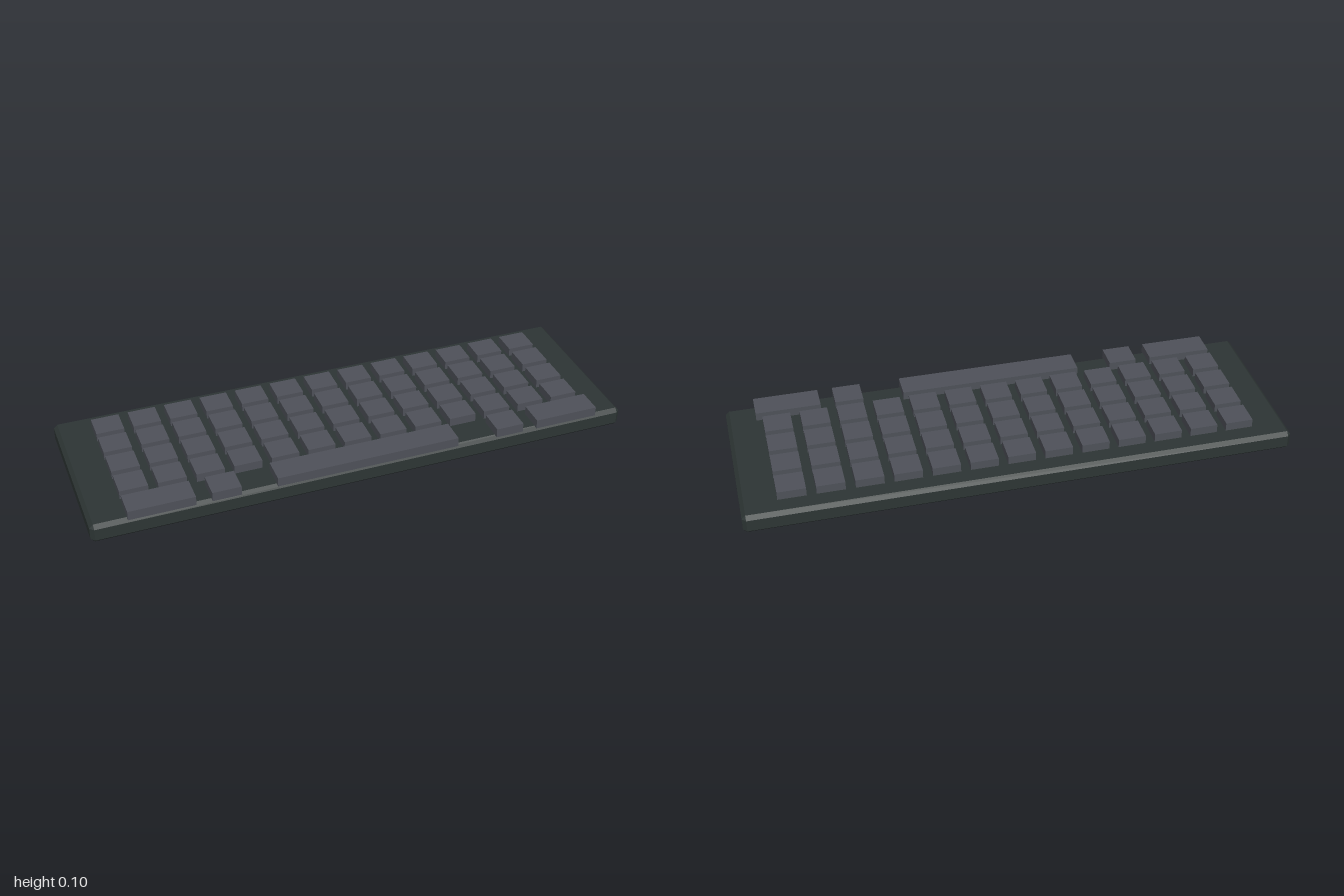
import * as THREE from 'three';
import { ConvexGeometry } from 'three/addons/geometries/ConvexGeometry.js';

// Box with every edge cut by a single flat chamfer
function chamferedBox(w, h, d, c) {
  const points = [];
  for (const sx of [-1, 1]) for (const sy of [-1, 1]) for (const sz of [-1, 1]) {
    for (let full = 0; full < 3; full++) {
      points.push(new THREE.Vector3(
        sx * (w / 2 - (full === 0 ? 0 : c)),
        sy * (h / 2 - (full === 1 ? 0 : c)),
        sz * (d / 2 - (full === 2 ? 0 : c))
      ));
    }
  }
  return new ConvexGeometry(points);
}

export function createModel() {
  const caseMaterial = new THREE.MeshStandardMaterial({ color: 0x2d3534 });
  caseMaterial.name = 'dark case';
  const keyMaterial = new THREE.MeshStandardMaterial({ color: 0x4e5159 });
  keyMaterial.name = 'grey keycaps';

  const keyboard = new THREE.Group();
  keyboard.name = 'keyboard';

  // Slab body
  const body = new THREE.Mesh(chamferedBox(2, 0.073, 0.637, 0.014), caseMaterial);
  body.name = 'case';
  body.position.y = 0.0365;
  keyboard.add(body);

  // Keycaps, placed by their left and right edges and row
  const rowZ = (row) => -0.2 + row * 0.118;
  function addKey(name, x0, x1, row) {
    const key = new THREE.Mesh(new THREE.BoxGeometry(x1 - x0, 0.035, 0.095), keyMaterial);
    key.name = name;
    key.position.set((x0 + x1) / 2, 0.0875, rowZ(row));
    keyboard.add(key);
  }

  // Four rows of thirteen square keys
  for (let row = 0; row < 4; row++) {
    for (let col = 0; col < 13; col++) {
      const x = (col - 6) * 0.1366;
      addKey(`key${row + 1}x${col + 1}`, x - 0.051, x + 0.051, row);
    }
  }

  // Front row of wide keys, overhanging the case edge
  addKey('wideKeyRight', -0.87, -0.632, 4);
  addKey('smallKeyRight', -0.575, -0.47, 4);
  addKey('spaceBar', -0.34, 0.34, 4);
  addKey('smallKeyLeft', 0.492, 0.597, 4);
  addKey('wideKeyLeft', 0.652, 0.893, 4);

  return keyboard;
}
